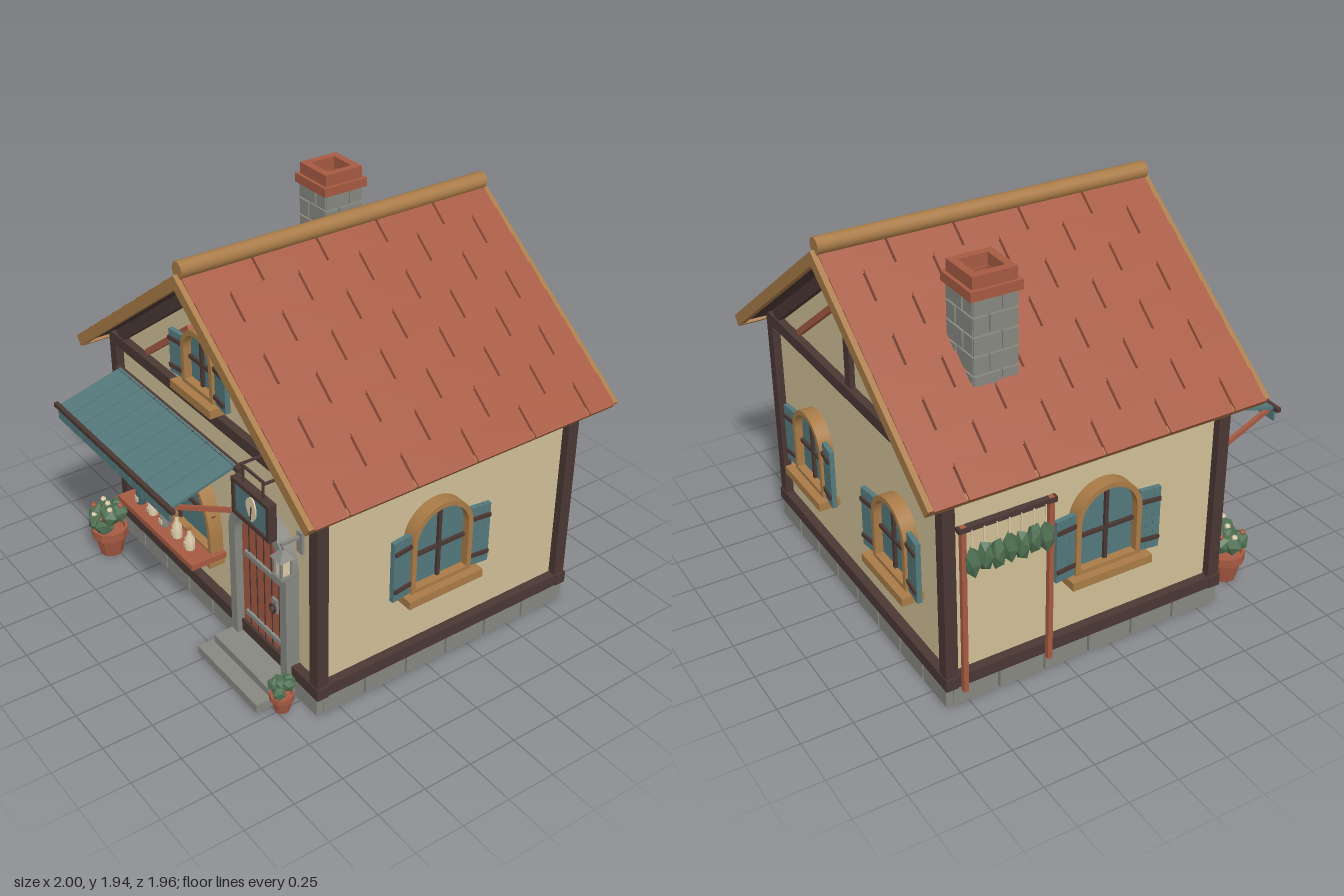
import * as THREE from 'three';
import { toCreasedNormals } from 'three/addons/utils/BufferGeometryUtils.js';

const mat = (name, color) => Object.assign(new THREE.MeshStandardMaterial({ color }), { name });
const M = {
  plaster: mat('plaster', 0xd0c097), tile: mat('terracotta', 0xa65a42), dark: mat('dark timber', 0x4a3834),
  wood: mat('light wood', 0xa97b47), stone: mat('stone', 0x888882), teal: mat('teal paint', 0x54797c),
  green: mat('foliage', 0x4f7052), cream: mat('cream', 0xdccbaa), bottle: mat('dark glass', 0x3d5a62),
};
const ZC = -0.12; // middle of the house in z
const V = (x, y, z) => new THREE.Vector3(x, y, z);

function add(parent, name, geo, m, x = 0, y = 0, z = 0) {
  const mesh = new THREE.Mesh(geo, m);
  mesh.name = name;
  mesh.position.set(x, y, z);
  parent.add(mesh);
  return mesh;
}
const box = (p, name, m, w, h, d, x, y, z) => add(p, name, new THREE.BoxGeometry(w, h, d), m, x, y, z);
function group(parent, name, x = 0, y = 0, z = 0, ry = 0) {
  const g = new THREE.Group();
  g.name = name;
  g.position.set(x, y, z);
  g.rotation.y = ry;
  parent.add(g);
  return g;
}
// Square bar between two points
function bar(p, name, m, a, b, t) {
  const d = b.clone().sub(a), c = a.clone().add(b).multiplyScalar(0.5);
  const mesh = box(p, name, m, t, d.length(), t, c.x, c.y, c.z);
  mesh.quaternion.setFromUnitVectors(V(0, 1, 0), d.normalize());
  return mesh;
}
const lathe = (pts, n, crease = 0.6) =>
  toCreasedNormals(new THREE.LatheGeometry(pts.map(q => new THREE.Vector2(...q)), n), crease);

// Arched outline standing on y = 0
function arch(hw, h, rise, Type = THREE.Shape) {
  const s = new Type();
  s.moveTo(-hw, 0);
  s.lineTo(hw, 0);
  s.lineTo(hw, h - rise);
  s.absellipse(0, h - rise, hw, rise, 0, Math.PI, false);
  s.closePath();
  return s;
}
const extrude = (s, depth) =>
  toCreasedNormals(new THREE.ExtrudeGeometry(s, { depth, bevelEnabled: false, curveSegments: 14 }), 0.5);
function archRing(hw, h, rise, t, depth, open) {
  const s = arch(hw, h, rise), hole = arch(hw - t, h - t - open, rise - t, THREE.Path);
  hole.curves.forEach(() => 0);
  s.holes.push(new THREE.Path(hole.getPoints(14).map(q => q.setY(q.y + open))));
  return extrude(s, depth);
}

function archWindow(parent, name, x, y, z, ry, hw, h, shutterH, rise = hw) {
  const g = group(parent, name, x, y, z, ry);
  add(g, 'windowGlass', extrude(arch(hw - 0.01, h - 0.01, rise - 0.01), 0.03), M.teal);
  add(g, 'windowFrame', archRing(hw, h, rise, 0.025, 0.07, 0.02), M.wood);
  box(g, 'uprightMullion', M.dark, 0.018, h - 0.03, 0.02, 0, h / 2, 0.035);
  box(g, 'crossMullion', M.dark, hw * 2 - 0.04, 0.018, 0.02, 0, h * 0.43, 0.035);
  if (!shutterH) return g;
  box(g, 'windowSill', M.wood, hw * 2 + 0.08, 0.042, 0.11, 0, -0.021, 0.055);
  for (const s of [-1, 1]) {
    const sh = group(g, 'shutter', s * (hw + 0.052), 0, 0.05);
    sh.rotation.y = -s * 0.12;
    for (const k of [-1, 0, 1]) box(sh, 'shutterBoard', M.teal, 0.034, shutterH, 0.024, k * 0.035, shutterH / 2, 0);
    for (const f of [0.18, 0.82]) box(sh, 'shutterStrap', M.dark, 0.1, 0.02, 0.012, 0, shutterH * f, 0.016);
  }
  return g;
}

function pottedPlant(parent, x, z, r, h, balls, buds) {
  const g = group(parent, 'pottedPlant', x, 0.015, z);
  add(g, 'pot', lathe([[0, 0], [r * 0.62, 0], [r * 0.88, h * 0.7], [r, h * 0.7], [r, h], [r * 0.85, h], [r * 0.8, h * 0.85], [0, h * 0.85]], 10, 0.2), M.tile);
  for (let i = 0; i < balls; i++) {
    const a = i * 2.4, d = i ? r * 0.6 : 0, yy = h + r * (i ? 0.45 + (i % 3) * 0.3 : 0.95);
    const b = add(g, 'leaves', new THREE.IcosahedronGeometry(r * 0.58, 0), M.green, Math.cos(a) * d, yy, Math.sin(a) * d);
    b.rotation.set(a, a * 2, 0);
    if (buds) add(g, 'bud', new THREE.IcosahedronGeometry(r * 0.17, 0), i % 2 ? M.tile : M.cream, Math.cos(a) * d * 1.3, yy + r * 0.5, Math.sin(a) * d * 1.3);
  }
}

function buildWalls(root) {
  const g = group(root, 'walls');
  const s = new THREE.Shape([[-0.84, 0.1], [0.84, 0.1], [0.84, 1.2], [0, 1.82], [-0.84, 1.2]].map(q => new THREE.Vector2(...q)));
  add(g, 'plasterWalls', extrude(s, 1.4), M.plaster, 0, 0, -0.82);
  // Stone footing
  for (const e of [-1, 1]) {
    for (let i = 0; i < 8; i++) box(g, 'footingStone', M.stone, 0.208, 0.1, 0.07, -0.77 + i * 0.22, 0.065, ZC + e * 0.705);
    for (let i = 0; i < 6; i++) box(g, 'footingStone', M.stone, 0.07, 0.1, 0.225, e * 0.845, 0.065, ZC - 0.592 + i * 0.237);
    box(g, 'sillBeam', M.dark, 1.78, 0.062, 0.06, 0, 0.143, ZC + e * 0.715);
    box(g, 'sillBeam', M.dark, 0.06, 0.062, 1.48, e * 0.855, 0.143, ZC);
    box(g, 'gableBeam', M.dark, 1.76, 0.058, 0.05, 0, 1.176, ZC + e * 0.715);
    box(g, 'wallPlate', M.dark, 0.05, 0.05, 1.44, e * 0.845, 1.165, ZC);
    box(g, 'kingPost', M.dark, 0.052, 0.6, 0.04, 0, 1.5, ZC + e * 0.705);
    for (const f of [-1, 1]) {
      box(g, 'cornerPost', M.dark, 0.06, 1.03, 0.06, f * 0.85, 0.66, ZC + e * 0.71);
      bar(g, 'gableBrace', M.tile, V(f * 0.54, 1.23, ZC + e * 0.71), V(f * 0.13, 1.54, ZC + e * 0.71), 0.03);
    }
  }
}

function buildRoof(root) {
  const g = group(root, 'roof'), ang = 0.6345, L = 1.235, step = L / 8;
  const cuts = [[-0.84, -0.52, -0.19, 0.14, 0.48, 0.84], [-0.84, -0.68, -0.35, -0.02, 0.31, 0.66, 0.84]];
  for (const s of [-1, 1]) {
    const r = group(g, 'roofSlope', 0, 1.895, ZC);
    r.rotation.z = -s * ang;
    box(r, 'roofBoards', M.dark, L - 0.02, 0.024, 1.66, s * (L / 2), -0.034, 0);
    for (let i = 0; i < 8; i++) {
      const c = cuts[i % 2];
      for (let k = 0; k < c.length - 1; k++) {
        const t = box(r, 'roofTile', M.tile, step + 0.012, 0.02, c[k + 1] - c[k] - 0.012, s * (i + 0.5) * step, -0.008, (c[k] + c[k + 1]) / 2);
        t.rotation.z = -s * 0.05;
      }
    }
    for (const e of [-1, 1]) {
      box(r, 'bargeBoard', M.wood, L, 0.055, 0.03, s * L / 2, -0.03, e * 0.845);
      box(r, 'gableRafter', M.dark, 1.05, 0.06, 0.045, s * 0.525, -0.082, e * 0.71);
    }
    box(r, 'eaveBoard', M.wood, 0.03, 0.05, 1.7, s * (L - 0.015), -0.035, 0);
  }
  const ridge = add(g, 'ridgePole', toCreasedNormals(new THREE.CylinderGeometry(0.041, 0.041, 1.68, 12), 0.6), M.wood, 0, 1.91, ZC);
  ridge.rotation.x = Math.PI / 2;
}

function buildChimney(root) {
  const g = group(root, 'chimney', -0.53, 0, -0.46);
  box(g, 'chimneyCore', M.stone, 0.2, 0.55, 0.2, 0, 1.575, 0);
  // Staggered stones, long and short by course
  for (let i = 0; i < 6; i++) {
    const y = 1.345 + i * 0.09, o = i % 2 ? 0.03 : -0.03;
    for (let q = 0; q < 4; q++) {
      const side = group(g, 'chimneyStones', 0, y, 0, q * Math.PI / 2);
      box(side, 'chimneyStone', M.stone, 0.1 + o, 0.08, 0.02, -0.055 + o / 2, 0, 0.102);
      box(side, 'chimneyStone', M.stone, 0.1 - o, 0.08, 0.014, 0.055 + o / 2, 0, 0.102);
    }
  }
  for (const [w, t, h, y] of [[0.25, 0.06, 0.045, 1.85], [0.215, 0.038, 0.06, 1.9]])
    for (let q = 0; q < 4; q++) {
      const side = group(g, 'chimneyCap', 0, y, 0, q * Math.PI / 2);
      box(side, 'capBrick', M.tile, w - t, h, t, t / 2, 0, w / 2 - t / 2);
    }
}

function buildShopFront(root) {
  const X = -0.275;
  archWindow(root, 'shopWindow', X, 0.42, 0.58, 0, 0.33, 0.435, 0, 0.37);
  box(root, 'shopShelf', M.tile, 0.71, 0.03, 0.19, X, 0.41, 0.675);
  box(root, 'shelfApron', M.wood, 0.68, 0.045, 0.09, X, 0.375, 0.62);
  for (let i = 0; i < 5; i++) {
    const k = 1 + (i === 2 ? 0.25 : (i % 2) * 0.1);
    const b = group(root, 'bottle', X + (i - 2) * 0.116, 0.425, 0.705);
    add(b, 'bottleBody', lathe([[0, 0], [0.024, 0], [0.026, 0.06 * k], [0.01, 0.085 * k], [0.01, 0.115 * k], [0, 0.115 * k]], 8), i % 2 ? M.cream : i === 2 ? M.stone : M.bottle);
    if (i === 4) b.children[0].material = M.cream;
    add(b, 'cork', new THREE.CylinderGeometry(0.012, 0.012, 0.018, 8), M.wood, 0, 0.12 * k, 0);
    box(b, 'label', M.cream, 0.026, 0.028, 0.006, 0, 0.03, 0.025);
  }
  // Awning of nine panels
  const a = group(root, 'awning'), w = 1.055 / 9;
  for (let i = 0; i < 9; i++) {
    const x = -0.79 + w * (i + 0.5);
    box(a, 'awningPanel', M.teal, w - 0.005, 0.014, 0.36, x, 0.983, 0.793).rotation.x = 0.269;
    box(a, 'awningValance', M.teal, w - 0.005, 0.065, 0.012, x, 0.902, 0.965);
  }
  box(a, 'awningWallRail', M.dark, 1.11, 0.025, 0.03, -0.26, 1.022, 0.62);
  box(a, 'awningFrontRail', M.dark, 1.11, 0.022, 0.022, -0.26, 0.936, 0.967);
  for (const x of [-0.77, 0.245]) {
    box(a, 'awningBracket', M.dark, 0.025, 0.22, 0.025, x, 0.875, 0.595);
    bar(a, 'awningStrut', M.tile, V(x, 0.77, 0.6), V(x, 0.93, 0.94), 0.02);
  }
}

function buildDoor(root) {
  const g = group(root, 'door', 0.455, 0.1, 0.58);
  add(g, 'doorSurround', archRing(0.23, 0.815, 0.23, 0.05, 0.07, 0.001), M.stone);
  add(g, 'doorLeaf', extrude(arch(0.185, 0.77, 0.185), 0.03), M.tile);
  for (let i = -2; i <= 2; i++) box(g, 'plankGap', M.dark, 0.006, 0.755 - Math.abs(i) * 0.025, 0.004, i * 0.06, 0.378 - Math.abs(i) * 0.0125, 0.031);
  for (const y of [0.14, 0.485]) box(g, 'hingeStrap', M.stone, 0.29, 0.026, 0.014, 0, y, 0.037);
  box(g, 'lockPlate', M.stone, 0.04, 0.075, 0.012, 0.092, 0.33, 0.036);
  add(g, 'doorRing', new THREE.TorusGeometry(0.02, 0.006, 6, 12), M.dark, 0.092, 0.32, 0.05);
  box(root, 'lowerStep', M.stone, 0.5, 0.045, 0.25, 0.455, 0.038, 0.705);
  box(root, 'upperStep', M.stone, 0.46, 0.042, 0.17, 0.455, 0.081, 0.665);
}

function buildSign(root) {
  const g = group(root, 'hangingSign', 0.645, 1.09, 0.778);
  box(g, 'signBoard', M.teal, 0.25, 0.15, 0.024, 0, 0, 0);
  for (const s of [-1, 1]) {
    box(g, 'signFrame', M.dark, 0.28, 0.02, 0.042, 0, s * 0.082, 0);
    box(g, 'signFrame', M.dark, 0.02, 0.184, 0.042, s * 0.131, 0, 0);
    box(g, 'signHanger', M.dark, 0.008, 0.09, 0.008, s * 0.075, 0.13, 0);
    bar(g, 'signArm', M.dark, V(s * 0.09, 0.172, 0.0), V(s * 0.09, 0.172, -0.18), 0.01);
  }
  box(g, 'signRail', M.dark, 0.19, 0.01, 0.01, 0, 0.172, 0);
  // Simple leaf ornament
  const leaf = new THREE.Shape();
  leaf.moveTo(0.01, -0.06);
  leaf.bezierCurveTo(0.05, -0.03, 0.05, 0.03, 0.015, 0.065);
  leaf.bezierCurveTo(-0.04, 0.05, -0.055, 0, 0.01, -0.06);
  add(g, 'leafOrnament', extrude(leaf, 0.008), M.cream, 0, 0, 0.011);
  bar(g, 'leafStem', M.dark, V(0.003, -0.05, 0.02), V(0.012, 0.02, 0.02), 0.005);
}

function buildLantern(root) {
  const g = group(root, 'lantern', 0.71, 0, 0.68);
  box(g, 'lanternBase', M.stone, 0.07, 0.016, 0.07, 0, 0.735, 0);
  box(g, 'lanternGlow', M.cream, 0.044, 0.085, 0.044, 0, 0.785, 0);
  for (const i of [-1, 1]) for (const j of [-1, 1]) box(g, 'lanternPost', M.stone, 0.01, 0.09, 0.01, i * 0.026, 0.785, j * 0.026);
  const cap = add(g, 'lanternRoof', toCreasedNormals(new THREE.CylinderGeometry(0.012, 0.058, 0.04, 4), 0.2), M.stone, 0, 0.85, 0);
  cap.rotation.y = Math.PI / 4;
  bar(g, 'lanternArm', M.stone, V(0, 0.9, 0.01), V(0, 0.9, -0.1), 0.014);
  box(g, 'lanternHook', M.stone, 0.01, 0.045, 0.01, 0, 0.88, 0);
  box(g, 'lanternPlate', M.stone, 0.04, 0.11, 0.015, 0, 0.87, -0.093);
}

function buildHerbRack(root) {
  const g = group(root, 'herbRack', -0.905, 0, -0.565);
  for (const s of [-1, 1]) box(g, 'rackPost', M.tile, 0.024, 0.87, 0.024, 0, 0.535, s * 0.215);
  box(g, 'rackRail', M.dark, 0.03, 0.025, 0.48, 0, 0.955, 0);
  for (let i = 0; i < 7; i++) {
    const z = -0.18 + i * 0.06;
    box(g, 'herbCord', M.cream, 0.006, 0.09, 0.006, -0.015, 0.905, z);
    const b = add(g, 'herbBunch', new THREE.IcosahedronGeometry(0.04, 0), M.green, -0.022, 0.79 + (i % 2) * 0.012, z);
    b.scale.set(1, 2, 0.95);
    b.rotation.y = i;
  }
}

export function createModel() {
  const root = new THREE.Group();
  root.name = 'cottageShop';
  buildWalls(root);
  buildRoof(root);
  buildChimney(root);
  buildShopFront(root);
  buildDoor(root);
  buildSign(root);
  buildLantern(root);
  buildHerbRack(root);
  archWindow(root, 'gableWindow', 0, 1.29, 0.58, 0, 0.13, 0.3, 0.22);
  for (const s of [-1, 1]) {
    archWindow(root, 'sideWindow', s * 0.84, 0.5, -0.045, s * Math.PI / 2, 0.172, 0.43, 0.32);
    archWindow(root, 'backWindow', s * 0.425, 0.47, -0.82, Math.PI, 0.158, 0.39, 0.31);
  }
  pottedPlant(root, -0.745, 0.775, 0.095, 0.155, 9, true);
  pottedPlant(root, 0.745, 0.72, 0.058, 0.095, 6, false);
  return root;
}
